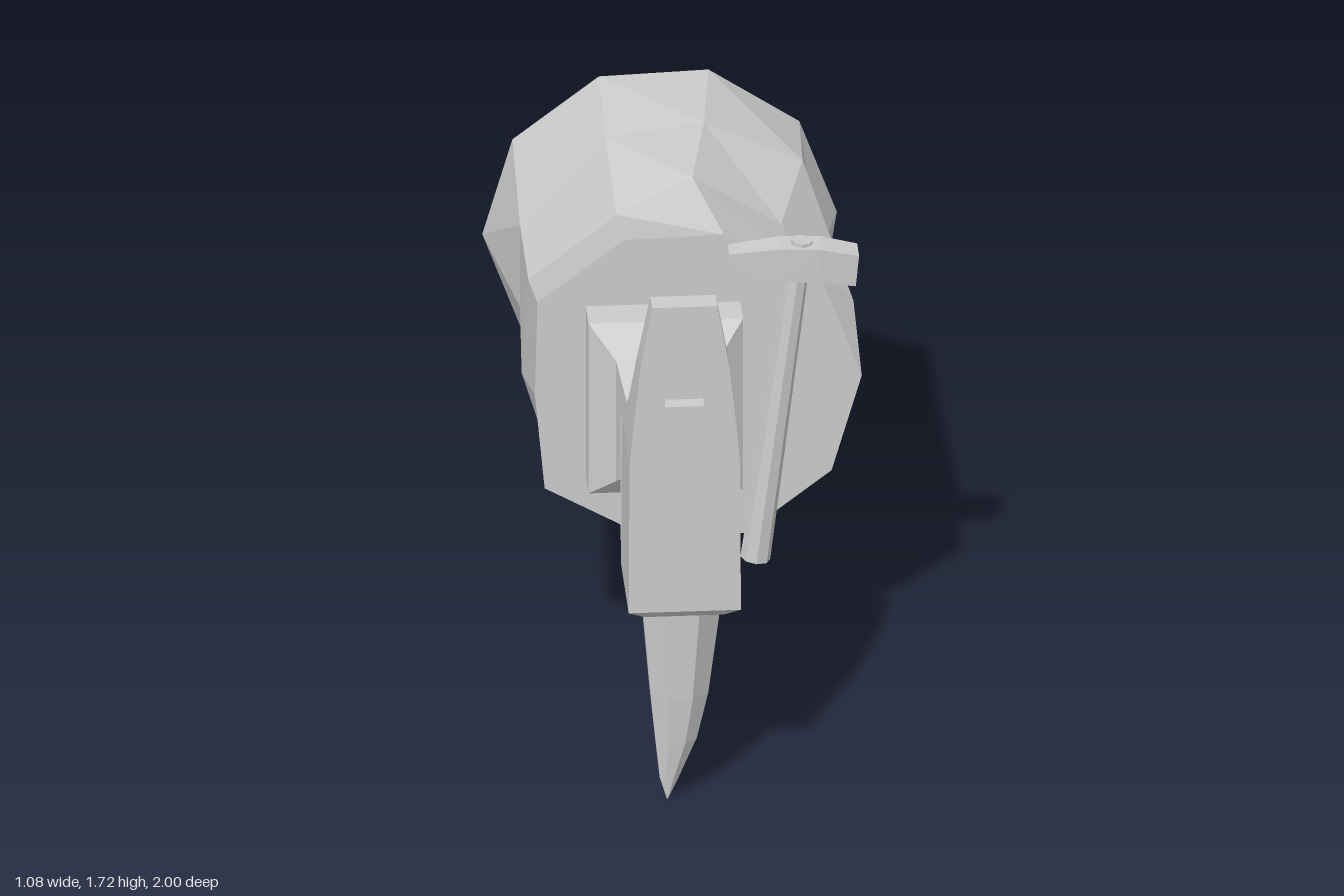
import * as THREE from 'three';

// Skins equal-length rings of [x, y, z]; rings run counter-clockwise about the loft direction.
function loft(rings, { start = true, end = true, skip = () => false } = {}) {
  const pos = [];
  const tri = (a, b, c) => pos.push(...a, ...b, ...c);
  const n = rings[0].length;
  for (let i = 0; i < rings.length - 1; i++) {
    for (let j = 0; j < n; j++) {
      if (skip(i, j)) continue;
      const k = (j + 1) % n;
      tri(rings[i][j], rings[i][k], rings[i + 1][j]);
      tri(rings[i][k], rings[i + 1][k], rings[i + 1][j]);
    }
  }
  const first = rings[0], last = rings[rings.length - 1];
  for (let j = 1; j < n - 1; j++) {
    if (start) tri(first[0], first[j + 1], first[j]);
    if (end) tri(last[0], last[j], last[j + 1]);
  }
  const g = new THREE.BufferGeometry();
  g.setAttribute('position', new THREE.Float32BufferAttribute(pos, 3));
  g.computeVertexNormals();
  return g;
}

// Rectangular rings across z and across y
const rectZ = (z, x0, x1, y0, y1) => [[x0, y0, z], [x1, y0, z], [x1, y1, z], [x0, y1, z]];
const rectY = (y, x0, x1, z0, z1) => [[x0, y, z1], [x1, y, z1], [x1, y, z0], [x0, y, z0]];

function add(parent, name, geometry, side = THREE.FrontSide) {
  const material = new THREE.MeshStandardMaterial({ color: 0xcccccc, flatShading: true, side });
  const mesh = new THREE.Mesh(geometry, material);
  mesh.name = name;
  parent.add(mesh);
  return mesh;
}

export function createModel() {
  const model = new THREE.Group();
  model.name = 'pickHeadOnBarrel';

  // Uneven ten-sided hollow barrel, open at the back and closed at the front
  const decagon = Array.from({ length: 10 }, (_, i) => {
    const a = THREE.MathUtils.degToRad(2 + 36 * i);
    return [0.54 * Math.cos(a), 0.985 + 0.54 * Math.sin(a)];
  });
  const frontRing = decagon.map((p) => [...p]);
  frontRing[2] = [0.12, 1.5];
  frontRing[5] = [-0.455, 0.97];
  frontRing[7] = [-0.14, 0.49];
  const midBack = [[0.46, 1.05], [0.41, 1.37], [0.11, 1.51], [-0.19, 1.47], [-0.45, 1.18],
    [-0.45, 0.9], [-0.35, 0.58], [0.01, 0.49], [0.33, 0.5], [0.45, 0.78]];
  const midFront = [[0.54, 1.07], [0.32, 1.34], [0.05, 1.51], [-0.18, 1.39], [-0.45, 1.18],
    [-0.47, 0.86], [-0.38, 0.56], [0.01, 0.49], [0.35, 0.5], [0.47, 0.81]];
  const zs = [-1, -0.64, -0.28, 0.085];
  const rings = [decagon, midBack, midFront, frontRing]
    .map((r, i) => r.map(([x, y]) => [x, y, zs[i]]));
  add(model, 'barrel', loft(rings, { start: false, skip: (i, j) => i === 1 && j === 7 }), THREE.DoubleSide);

  // Hollow knot pushed out of the underside of the barrel
  const knotBase = [rings[1][7], rings[1][8], rings[2][8], rings[2][7]];
  const knotTip = [[0.09, 0.375, -0.52], [0.23, 0.385, -0.52], [0.23, 0.385, -0.32], [0.09, 0.375, -0.32]];
  add(model, 'knot', loft([knotBase, knotTip], { start: false }), THREE.DoubleSide);

  // Square mount and waisted neck
  add(model, 'neck', loft([
    rectZ(0.08, -0.3, 0.17, 0.69, 1.27),
    rectZ(0.2, -0.3, 0.17, 0.69, 1.27),
    rectZ(0.26, -0.22, 0.095, 0.76, 1.17),
    rectZ(0.43, -0.195, 0.065, 0.865, 1.095),
    rectZ(0.585, -0.205, 0.075, 0.82, 1.13),
    rectZ(0.67, -0.235, 0.108, 0.77, 1.19),
  ]));

  // Head: [y, half width, back z, front z]
  const cx = -0.063;
  const levels = [[0.66, 0.12, 0.73, 0.97], [0.69, 0.171, 0.67, 1], [1.19, 0.168, 0.665, 1],
    [1.33, 0.156, 0.8, 1], [1.53, 0.134, 0.89, 1], [1.73, 0.1, 0.925, 1]];
  const head = new THREE.Group();
  head.name = 'head';
  model.add(head);
  add(head, 'headBody', loft(levels.map(([y, w, z0, z1]) => rectY(y, cx - w, cx + w, z0, z1)),
    { skip: (i, j) => i === 3 && j === 0 }));

  // Front panel with a small sunken socket
  const panel = new THREE.Shape([[-0.156, 1.33], [0.156, 1.33], [0.134, 1.53], [-0.134, 1.53]]
    .map(([x, y]) => new THREE.Vector2(cx + x, y)));
  const slot = [[-0.062, 1.39], [0.06, 1.39], [0.05, 1.47], [-0.052, 1.47]].map(([x, y]) => [cx + x, y]);
  panel.holes.push(new THREE.Path(slot.map(([x, y]) => new THREE.Vector2(x, y)).reverse()));
  const panelGeometry = new THREE.ShapeGeometry(panel);
  panelGeometry.translate(0, 0, 1);
  add(head, 'frontPanel', panelGeometry);
  add(head, 'socket', loft([1, 0.95].map((z) => slot.map(([x, y]) => [x, y, z])), { start: false }));

  // Curved eight-sided spike: [y, x0, x1, z0, z1], tip first
  const spikeLevels = [[0.01, -0.112, -0.108, 0.913, 0.917], [0.08, -0.133, -0.075, 0.875, 0.925],
    [0.21, -0.146, -0.02, 0.83, 0.94], [0.36, -0.16, 0.015, 0.785, 0.953], [0.67, -0.185, 0.055, 0.73, 0.968]];
  add(model, 'spike', loft(spikeLevels.map(([y, x0, x1, z0, z1]) =>
    Array.from({ length: 8 }, (_, i) => {
      const a = (i + 0.5) * Math.PI / 4, r = 0.5 / Math.cos(Math.PI / 8);
      return [(x0 + x1) / 2 + (x1 - x0) * r * Math.cos(a), y, (z0 + z1) / 2 - (z1 - z0) * r * Math.sin(a)];
    }))));

  // Small hammer leaning on the front of the barrel
  const hammer = new THREE.Group();
  hammer.name = 'hammer';
  model.add(hammer);
  const hz = 0.136;
  const bottom = new THREE.Vector3(0.212, 0.42, hz), top = new THREE.Vector3(0.354, 1.5, hz);
  const handle = add(hammer, 'hammerHandle',
    new THREE.CylinderGeometry(0.033, 0.046, bottom.distanceTo(top), 8));
  handle.position.copy(bottom).lerp(top, 0.5);
  handle.quaternion.setFromUnitVectors(new THREE.Vector3(0, 1, 0), top.clone().sub(bottom).normalize());

  // Hammer head sections along x: [bottom x, bottom y, top x, top y, half depth]
  const sections = [[0.12, 1.445, 0.13, 1.475, 0.034], [0.27, 1.385, 0.285, 1.492, 0.044],
    [0.4, 1.375, 0.41, 1.487, 0.048], [0.515, 1.357, 0.525, 1.46, 0.042]];
  add(hammer, 'hammerHead', loft(sections.map(([x0, y0, x1, y1, d]) =>
    [[x0, y0, hz + d], [x0, y0, hz - d], [x1, y1, hz - d], [x1, y1, hz + d]])));

  return model;
}
